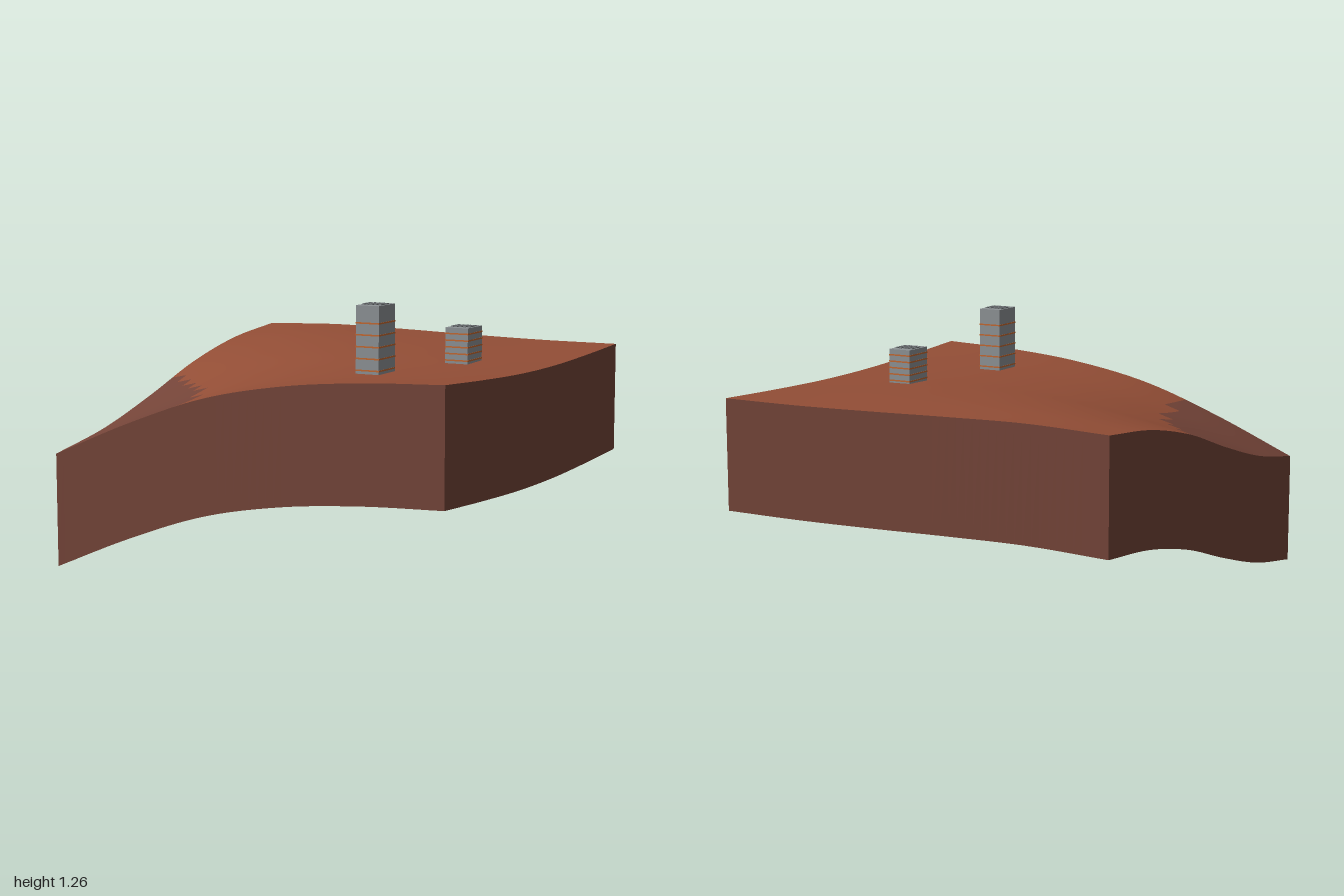
import * as THREE from 'three';

const DROP = 0.535; // height of the skirt below the terrain edge
const SEG = 48;

const mat = (name, color, side = THREE.FrontSide) =>
  Object.assign(new THREE.MeshStandardMaterial({ color, side }), { name });

// smooth edge profile through evenly spaced heights from -1 to 1
function profile(heights) {
  const at = heights.map((_, i) => -1 + (2 * i) / (heights.length - 1));
  const spline = new THREE.CubicInterpolant(at, heights, 1);
  return (t) => spline.evaluate(THREE.MathUtils.clamp(t, -1, 0.99999))[0];
}
const backEdge = profile([0.966, 0.98, 0.974, 0.964, 0.957, 0.957]);
const frontEdge = profile([0.535, 0.705, 0.845, 0.925, 0.965, 0.982]);
const rightEdge = profile([0.966, 0.925, 0.84, 0.715, 0.605, 0.535]); // x = -1
const leftEdge = profile([0.957, 0.943, 0.935, 0.94, 0.958, 0.982]); // x = +1

// terrain height blended from its four edges
function height(x, z) {
  const u = (x + 1) / 2, v = (z + 1) / 2;
  const mix = THREE.MathUtils.lerp;
  return mix(rightEdge(z), leftEdge(z), u) + mix(backEdge(x), frontEdge(x), v)
    - mix(mix(0.966, 0.957, u), mix(0.535, 0.982, u), v);
}

// curved ground; blocks below the threshold take the lowland colour
function terrainGeometry() {
  const g = new THREE.PlaneGeometry(2, 2, SEG, SEG).rotateX(-Math.PI / 2);
  const p = g.attributes.position;
  for (let i = 0; i < p.count; i++) p.setY(i, height(p.getX(i), p.getZ(i)));
  const high = [], low = [], source = g.index.array;
  const centre = (cell) => -1 + (Math.floor(cell / 2) + 0.5) * (4 / SEG);
  for (let row = 0; row < SEG; row++) {
    for (let col = 0; col < SEG; col++) {
      const start = (row * SEG + col) * 6;
      const list = height(centre(col), centre(row)) < 0.775 ? low : high;
      list.push(...source.slice(start, start + 6));
    }
  }
  g.setIndex([...high, ...low]);
  g.addGroup(0, high.length, 0);
  g.addGroup(high.length, low.length, 1);
  g.computeVertexNormals();
  return g;
}

// one vertical side wall that follows the terrain edge
function wallGeometry(turn) {
  const g = new THREE.PlaneGeometry(2, 1, SEG, 1).translate(0, 0, 1).rotateY((turn * Math.PI) / 2);
  const p = g.attributes.position;
  for (let i = 0; i < p.count; i++) {
    p.setY(i, height(p.getX(i), p.getZ(i)) - (p.getY(i) > 0 ? 0 : DROP));
  }
  return g;
}

export function createModel() {
  const ground = mat('ground', 0x934e36, THREE.DoubleSide);
  const lowland = mat('lowland', 0x744438, THREE.DoubleSide);
  const concrete = mat('concrete', 0x8e9396);
  const orange = mat('orange band', 0xc4682f);
  const roofGrey = mat('roof grey', 0x7b8083);

  const model = new THREE.Group();
  const add = (parent, name, geometry, material, x = 0, y = 0, z = 0) => {
    const mesh = new THREE.Mesh(geometry, material);
    mesh.name = name;
    mesh.position.set(x, y, z);
    parent.add(mesh);
  };

  add(model, 'terrain', terrainGeometry(), [ground, lowland]);
  ['front', 'left', 'back', 'right'].forEach((side, i) =>
    add(model, side + 'Wall', wallGeometry(i), lowland));

  // banded tower with slats on its roof
  function tower(name, x, z, base, top, firstBand, step) {
    const w = 0.116, d = 0.16;
    const group = new THREE.Group();
    group.name = name;
    group.position.set(x, 0, z);
    add(group, 'towerBody', new THREE.BoxGeometry(w, top - base, d), concrete, 0, (top + base) / 2, 0);
    for (let i = 0; i < 5; i++) {
      add(group, 'band', new THREE.BoxGeometry(w + 0.003, 0.007, d + 0.003), orange, 0, firstBand - i * step, 0);
    }
    for (let i = -2; i <= 2; i++) {
      add(group, 'roofSlat', new THREE.BoxGeometry(0.011, 0.006, 0.08), roofGrey, i * 0.021, top + 0.002, 0);
    }
    model.add(group);
  }
  tower('tallTower', 0.414, 0.5, 0.945, 1.254, 1.175, 0.0535);
  tower('shortTower', 0.583, -0.082, 0.932, 1.109, 1.081, 0.0315);
  return model;
}
